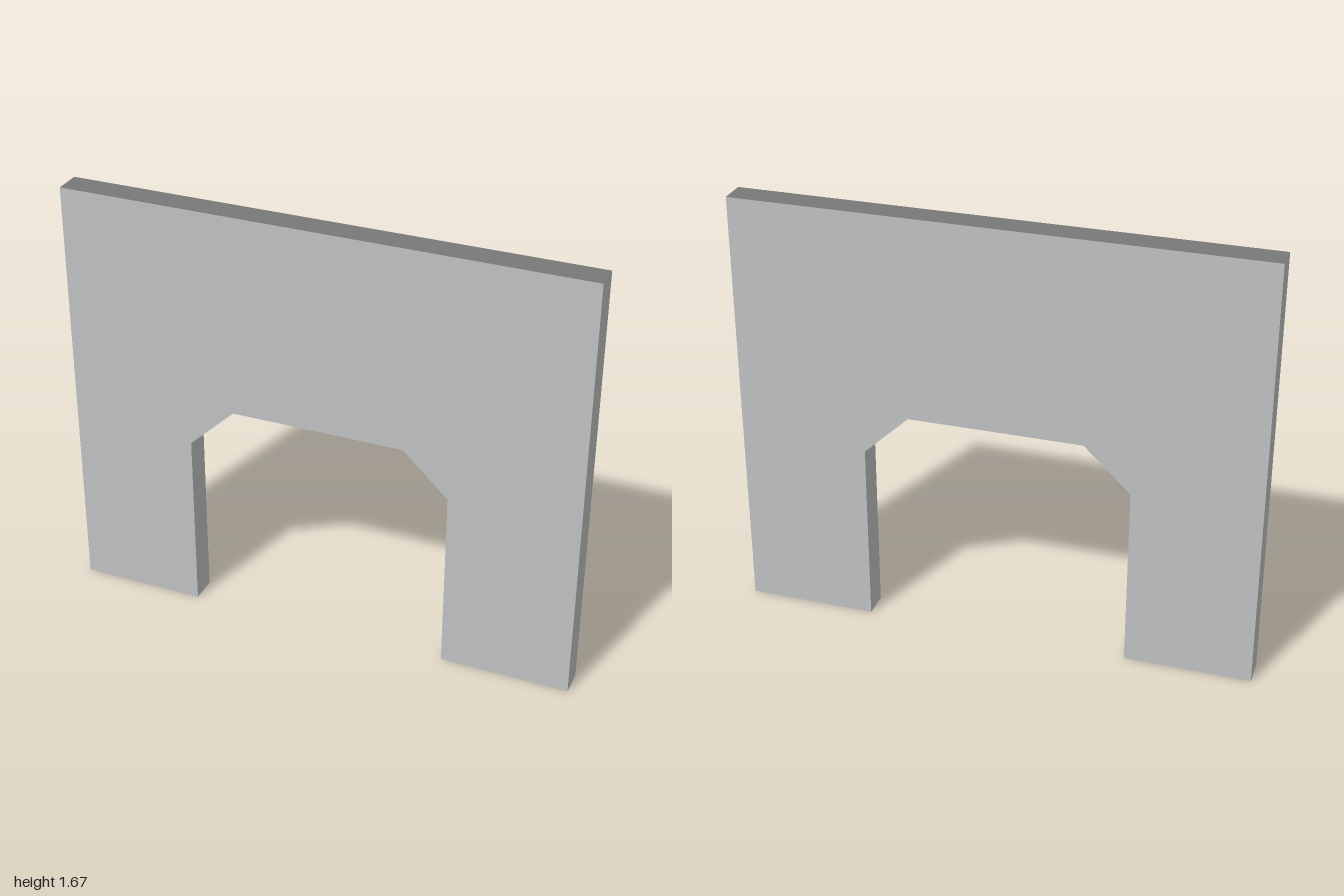
import * as THREE from 'three';

const DEPTH = 0.105;

// Outline of the wall with its chamfered doorway, counter-clockwise
const OUTLINE = [
  [-1, 0], [-0.516, 0], [-0.516, 0.713], [-0.337, 0.883], [0.33, 0.883],
  [0.505, 0.717], [0.505, 0], [1, 0], [1, 1.67], [-1, 1.67],
];

export function createModel() {
  const lightGrey = new THREE.MeshStandardMaterial({ color: 0xc0c1c2 });
  lightGrey.name = 'light grey';
  const darkGrey = new THREE.MeshStandardMaterial({ color: 0x797979 });
  darkGrey.name = 'dark grey';

  const shape = new THREE.Shape(OUTLINE.map(([x, y]) => new THREE.Vector2(x, y)));
  const geometry = new THREE.ExtrudeGeometry(shape, { depth: DEPTH, bevelEnabled: false });
  geometry.translate(0, 0, -DEPTH / 2);

  // Upright faces are light; top, feet and doorway ceiling are dark
  geometry.clearGroups();
  const normal = geometry.attributes.normal;
  for (let i = 0; i < normal.count; i += 3) {
    geometry.addGroup(i, 3, Math.abs(normal.getY(i)) > 0.3 ? 1 : 0);
  }

  const wall = new THREE.Mesh(geometry, [lightGrey, darkGrey]);
  wall.name = 'doorwayWall';

  const model = new THREE.Group();
  model.name = 'wallWithDoorway';
  model.add(wall);
  return model;
}
